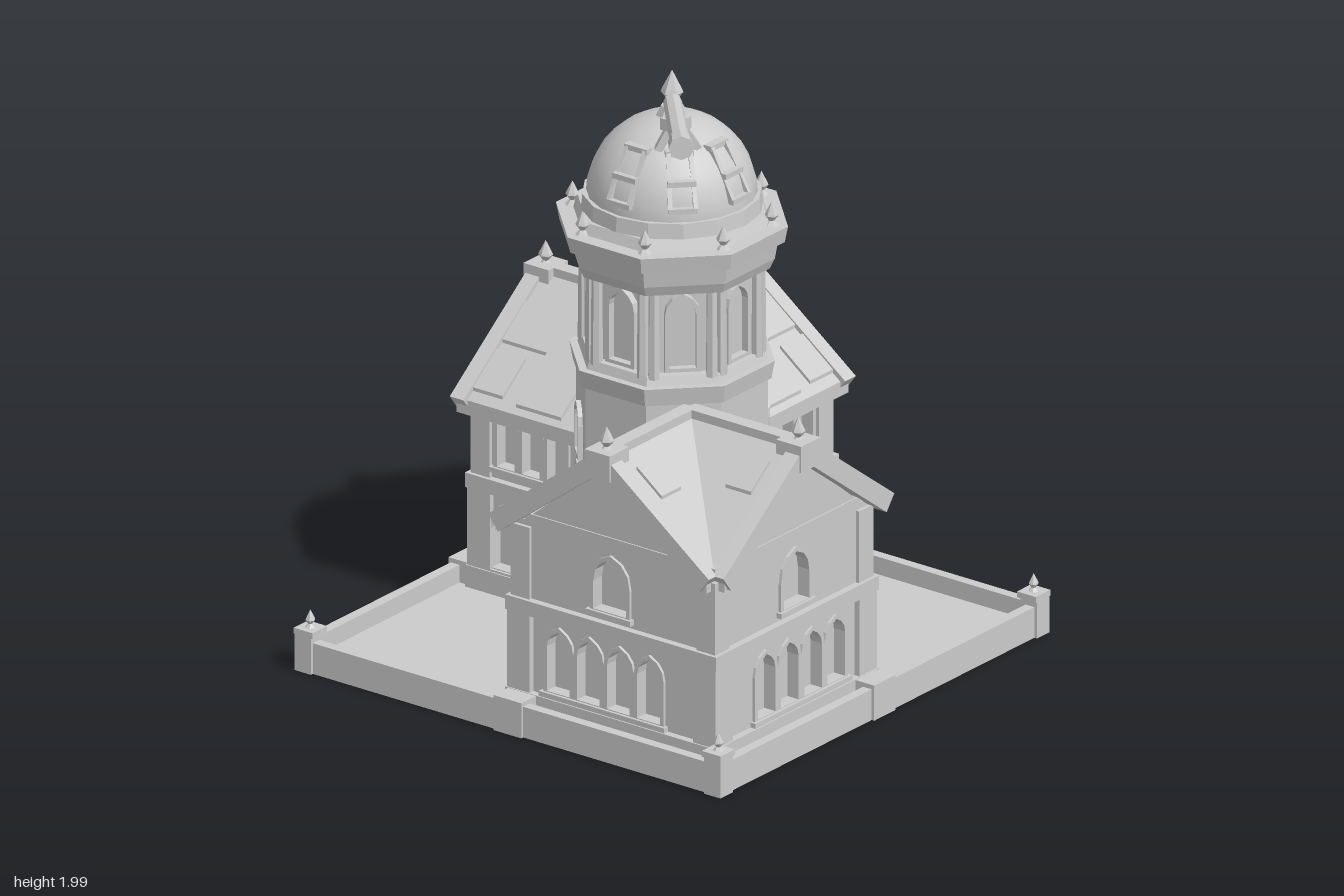
import * as THREE from 'three';

const flat = new THREE.MeshStandardMaterial({ color: 0xcccccc, flatShading: true, side: THREE.DoubleSide });
const smooth = new THREE.MeshStandardMaterial({ color: 0xcccccc });

function add(parent, name, geo, x = 0, y = 0, z = 0, mat = flat) {
  const m = new THREE.Mesh(geo, mat);
  m.name = name;
  m.position.set(x, y, z);
  parent.add(m);
  return m;
}
const box = (p, name, w, h, d, x, y, z) => add(p, name, new THREE.BoxGeometry(w, h, d), x, y, z);

// Box running from a to b
function beam(p, name, a, b, w, h) {
  const A = new THREE.Vector3(...a), B = new THREE.Vector3(...b);
  const m = new THREE.Mesh(new THREE.BoxGeometry(w, h, A.distanceTo(B)), flat);
  m.name = name;
  m.position.copy(A).lerp(B, 0.5);
  m.lookAt(B);
  p.add(m);
}

// Octagonal ring or drum with flats towards the axes; r is the distance to a flat
function octagon(p, name, r0, r1, y0, y1) {
  const k = 1 / Math.cos(Math.PI / 8);
  const g = new THREE.CylinderGeometry(r1 * k, r0 * k, y1 - y0, 8).rotateY(Math.PI / 8);
  return add(p, name, g, 0, (y0 + y1) / 2, 0);
}

// Four-cornered slab, corners counter-clockwise from above
function slab(p, name, top, t) {
  const low = top.map(([x, y, z]) => [x, y - t, z]);
  const pos = [];
  const quad = (a, b, c, d) => pos.push(...a, ...b, ...c, ...a, ...c, ...d);
  quad(...top);
  quad(...[...low].reverse());
  for (let i = 0; i < 4; i++) {
    const j = (i + 1) % 4;
    quad(top[i], low[i], low[j], top[j]);
  }
  const g = new THREE.BufferGeometry();
  g.setAttribute('position', new THREE.Float32BufferAttribute(pos, 3));
  g.computeVertexNormals();
  add(p, name, g);
}

// Slightly pointed arch outline
function arch(path, x, y, w, h) {
  const s = h - w * 0.65, r = w / 2;
  path.moveTo(x - r, y);
  path.lineTo(x + r, y);
  path.lineTo(x + r, y + s);
  path.quadraticCurveTo(x + r, y + h * 0.9, x, y + h);
  path.quadraticCurveTo(x - r, y + h * 0.9, x - r, y + s);
  path.lineTo(x - r, y);
  return path;
}
const extrude = (shape, depth) => new THREE.ExtrudeGeometry(shape, { depth, bevelEnabled: false, curveSegments: 3 });

function archFrame(p, x, y, w, h, z, depth = 0.03) {
  const s = arch(new THREE.Shape(), x, y - 0.012, w + 0.03, h + 0.027);
  s.holes.push(arch(new THREE.Path(), x, y, w, h));
  add(p, 'windowFrame', extrude(s, depth), 0, 0, z);
}

function finial(p, x, y, z, h) {
  const pts = [[0, 0], [0.3, 0], [0.12, 0.2], [0.28, 0.42], [0.24, 0.52], [0, 1]];
  const g = new THREE.LatheGeometry(pts.map(([r, v]) => new THREE.Vector2(r * h, v * h)), 6);
  add(p, 'finial', g, x, y, z);
}

// Wall pierced by arched windows, on a core set behind it
function facade(outline, arches) {
  const g = new THREE.Group();
  g.name = 'facade';
  const s = new THREE.Shape(outline.map(([x, y]) => new THREE.Vector2(x, y)));
  for (const a of arches) {
    s.holes.push(arch(new THREE.Path(), ...a));
    archFrame(g, ...a, 0.375);
    box(g, 'sill', a[2] + 0.05, 0.018, 0.05, a[0], a[1] - 0.012, 0.39);
  }
  add(g, 'wall', extrude(s, 0.04), 0, 0, 0.355);
  return g;
}

const RIDGE = 0.32, TOP = 1.02, HALF = 0.42, PITCH = 0.762, END = 0.78;

function wing() {
  const g = new THREE.Group();
  g.name = 'wing';
  box(g, 'core', 0.72, 0.64, 0.72, 0.35, 0.36, 0.35);
  box(g, 'storeyBand', 0.84, 0.05, 0.84, 0.35, 0.41, 0.35);
  box(g, 'plinth', 0.84, 0.1, 0.84, 0.35, 0.07, 0.35);

  // Gabled and eaved facades
  const place = (f, turn) => { f.position.set(0.35, 0, 0.35); f.rotation.y = turn; g.add(f); };
  for (const [m, gableTurn, sideTurn] of [[1, 0, -Math.PI / 2], [-1, Math.PI / 2, Math.PI]]) {
    const gable = facade([[-0.395, 0.04], [0.395, 0.04], [0.395, 0.67], [-0.03 * m, 0.97], [-0.395, 0.67]],
      [...[-0.22, -0.1, 0.02, 0.14].map(x => [x * m, 0.14, 0.09, 0.21]), [-0.015 * m, 0.47, 0.13, 0.18]]);
    box(gable, 'beltCourse', 0.8, 0.02, 0.02, 0, 0.715, 0.39);
    place(gable, gableTurn);
    place(facade([[-0.395, 0.04], [0.395, 0.04], [0.395, 0.7], [-0.395, 0.7]],
      [[0.26, 0.13, 0.13, 0.22], [0.07, 0.13, 0.12, 0.22], [-0.08, 0.13, 0.09, 0.22],
        ...[0.27, 0.17, 0.07].map(x => [x, 0.48, 0.07, 0.19])].map(a => [a[0] * m, ...a.slice(1)])), sideTurn);
  }

  // Corner piers
  for (const [x, z] of [[-0.02, 0.72], [0.72, 0.72], [0.72, -0.02]]) {
    box(g, 'lowerPier', 0.09, 0.36, 0.09, x, 0.22, z);
    box(g, 'upperPier', 0.075, 0.26, 0.075, x, 0.55, z);
  }

  // L-shaped roof with a valley at the outer corner
  const lo = RIDGE - HALF, hi = RIDGE + HALF, e = TOP - PITCH * HALF;
  const P = [RIDGE, TOP, RIDGE], Q = [END, TOP, RIDGE], R = [RIDGE, TOP, END], O = [lo, e, lo], C = [hi, e, hi];
  slab(g, 'roof', [O, [lo, e, END], R, P], 0.05);
  slab(g, 'roof', [P, Q, [END, e, lo], O], 0.05);
  slab(g, 'roof', [P, R, [hi, e, END], C], 0.05);
  slab(g, 'roof', [P, C, [END, e, hi], Q], 0.05);

  // Raised shingles, mirrored across the diagonal
  const tiles = [[-0.08, 0.1, 0.38, 0.56], [-0.07, 0.05, 0.62, 0.74], [0.08, 0.2, 0.48, 0.74],
    [0.14, 0.29, 0.36, 0.47], [0.4, 0.5, 0.6, 0.7]];
  const roofY = u => TOP + 0.012 - PITCH * Math.abs(u - RIDGE);
  for (const [a, b, c, d] of tiles) {
    const t = [[a, c], [a, d], [b, d], [b, c]].map(([x, z]) => [x, roofY(x), z]);
    slab(g, 'shingle', t, 0.02);
    slab(g, 'shingle', t.map(([x, y, z]) => [z, y, x]).reverse(), 0.02);
  }

  // Ridges, rake boards, ridge blocks and finials
  for (const f of [(u, y, v) => [u, y, v], (u, y, v) => [v, y, u]]) {
    beam(g, 'ridgeCap', f(RIDGE, TOP - 0.005, RIDGE), f(RIDGE, TOP - 0.005, END), 0.05, 0.03);
    for (const s of [-1, 1])
      beam(g, 'rakeBoard', f(RIDGE, TOP - 0.025, 0.765), f(RIDGE + s * 0.42, e - 0.02, 0.765), 0.055, 0.065);
    const b = f(RIDGE, 0.985, 0.75);
    box(g, 'ridgeBlock', 0.1, 0.09, 0.1, ...b);
    finial(g, b[0], 1.02, b[2], 0.085);
  }
  return g;
}

function tower() {
  const g = new THREE.Group();
  g.name = 'tower';
  octagon(g, 'porch', 0.32, 0.32, 0.02, 0.39);
  octagon(g, 'porchBand', 0.355, 0.345, 0.38, 0.43);
  octagon(g, 'shaft', 0.29, 0.29, 0.42, 1.0);
  octagon(g, 'shaftRing', 0.3, 0.31, 0.97, 1.03);
  octagon(g, 'drum', 0.245, 0.245, 1.02, 1.38);
  octagon(g, 'drumSill', 0.285, 0.275, 1.03, 1.06);
  octagon(g, 'cornice', 0.295, 0.31, 1.345, 1.38);
  octagon(g, 'cornice', 0.31, 0.32, 1.38, 1.44);
  octagon(g, 'cornice', 0.34, 0.35, 1.44, 1.495);
  octagon(g, 'domeBase', 0.3, 0.285, 1.495, 1.53);
  add(g, 'domeRing', new THREE.CylinderGeometry(0.285, 0.29, 0.05, 16), 0, 1.555, 0);

  // Drum windows and the columns between them
  for (let i = 0; i < 8; i++) {
    const side = new THREE.Group();
    side.name = 'drumBay';
    side.rotation.y = i * Math.PI / 4;
    archFrame(side, 0, 1.08, 0.085, 0.24, 0.24, 0.03);
    for (const s of [-1, 1])
      add(side, 'column', new THREE.CylinderGeometry(0.017, 0.02, 0.3, 6), s * 0.092, 1.2, 0.268);
    g.add(side);
    const a = (i + 0.5) * Math.PI / 4, r = 0.325;
    finial(g, r * Math.sin(a), 1.495, r * Math.cos(a), 0.08);
  }

  // Entrances and stair windows in the open corners
  for (const a of [-Math.PI / 4, Math.PI * 0.75]) {
    const e = new THREE.Group();
    e.name = 'entrance';
    e.rotation.y = a;
    archFrame(e, 0, 0.05, 0.14, 0.31, 0.315, 0.04);
    for (const s of [-1, 1]) box(e, 'doorPier', 0.035, 0.37, 0.04, s * 0.12, 0.205, 0.325);
    archFrame(e, 0, 0.5, 0.075, 0.16, 0.28, 0.025);
    archFrame(e, 0, 0.7, 0.075, 0.16, 0.28, 0.025);
    g.add(e);
  }

  // Dome with framed hatches
  const dome = new THREE.SphereGeometry(0.272, 20, 8, 0, Math.PI * 2, 0, Math.PI / 2);
  add(g, 'dome', dome, 0, 1.57, 0, smooth);
  for (const a of [0, Math.PI / 4, Math.PI / 2]) {
    const h = new THREE.Group();
    h.name = 'domeHatch';
    h.rotation.y = a;
    for (const s of [-1, 1])
      beam(h, 'hatchRail', [s * 0.04, 1.62, 0.265], [s * 0.034, 1.78, 0.175], 0.014, 0.03);
    for (const [y, z] of [[1.62, 0.265], [1.7, 0.235], [1.78, 0.175]])
      box(h, 'hatchBar', 0.09, 0.018, 0.03, 0, y, z);
    g.add(h);
  }
  add(g, 'domeCap', new THREE.CylinderGeometry(0.035, 0.06, 0.05, 8), 0, 1.845, 0);
  finial(g, 0, 1.86, 0, 0.13);
  return g;
}

function telescope() {
  const g = new THREE.Group();
  g.name = 'telescope';
  const A = new THREE.Vector3(-0.01, 1.895, -0.01), B = new THREE.Vector3(0.3, 1.912, 0.34);
  const tube = new THREE.Group();
  tube.name = 'telescopeTube';
  tube.position.copy(A);
  tube.lookAt(B);
  const L = A.distanceTo(B);
  for (const [r0, r1, a, b] of [[0.02, 0.026, 0, 0.15], [0.03, 0.033, 0.12, 0.88], [0.038, 0.04, 0.86, 1]])
    add(tube, 'barrel', new THREE.CylinderGeometry(r1, r0, (b - a) * L, 8).rotateX(Math.PI / 2), 0, 0, (a + b) / 2 * L);
  g.add(tube);
  // Mount legs
  for (const [x, z] of [[0.06, 0.15], [0.15, 0.06], [0.06, 0.05]])
    beam(g, 'mountLeg', [x, 1.78, z], [0.1, 1.89, 0.11], 0.025, 0.025);
  box(g, 'mountHead', 0.07, 0.04, 0.07, 0.1, 1.87, 0.11);
  return g;
}

export function createModel() {
  const model = new THREE.Group();
  model.name = 'observatory';

  // Courtyard, parapet and posts
  box(model, 'courtyard', 1.66, 0.045, 1.66, 0, 0.0225, 0);
  for (let i = 0; i < 4; i++) {
    const side = new THREE.Group();
    side.name = 'parapetSide';
    side.rotation.y = i * Math.PI / 2;
    box(side, 'parapet', 1.62, 0.105, 0.035, 0, 0.0525, 0.82);
    box(side, 'middlePost', 0.11, 0.12, 0.075, 0, 0.06, 0.81);
    box(side, 'cornerPost', 0.065, 0.13, 0.065, 0.815, 0.065, 0.815);
    box(side, 'postCap', 0.075, 0.02, 0.075, 0.812, 0.135, 0.812);
    finial(side, 0.812, 0.145, 0.812, 0.06);
    model.add(side);
  }

  const front = wing(), back = wing();
  back.rotation.y = Math.PI;
  model.add(front, back, tower(), telescope());
  return model;
}
